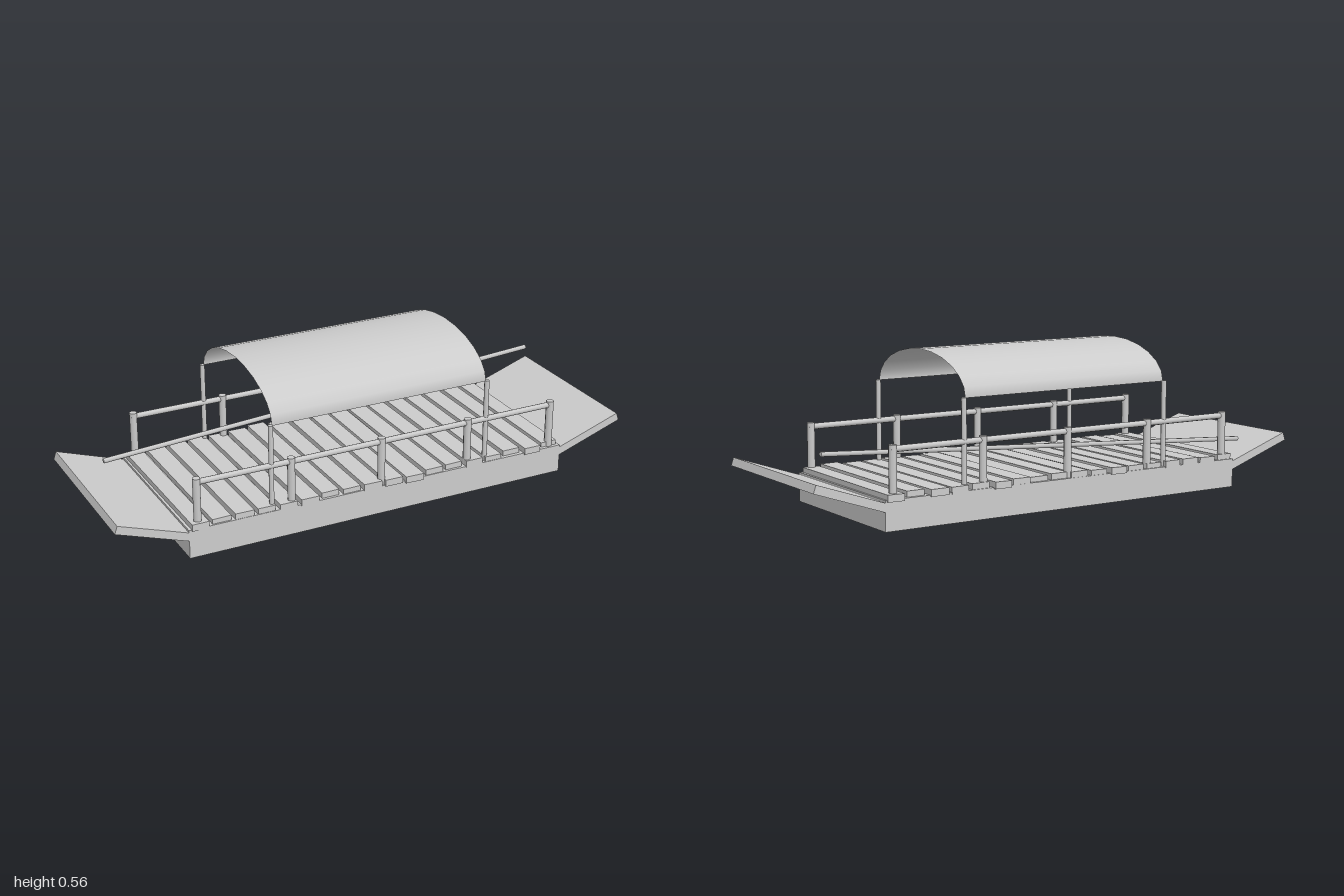
import * as THREE from 'three';

const ZC = 0.005; // hull centre line
const grey = new THREE.MeshStandardMaterial({ color: 0xcccccc, flatShading: true });
const cloth = new THREE.MeshStandardMaterial({ color: 0xcccccc, side: THREE.DoubleSide });
const smooth = new THREE.MeshStandardMaterial({ color: 0xcccccc });

function add(parent, name, geometry, material, x = 0, y = 0, z = 0) {
  const mesh = new THREE.Mesh(geometry, material);
  mesh.name = name;
  mesh.position.set(x, y, z);
  parent.add(mesh);
  return mesh;
}

// Round bar between two points
function bar(parent, name, from, to, r0, r1 = r0, sides = 8) {
  const a = new THREE.Vector3(...from), b = new THREE.Vector3(...to);
  const dir = b.clone().sub(a);
  const mesh = add(parent, name, new THREE.CylinderGeometry(r1, r0, dir.length(), sides), smooth);
  mesh.position.copy(a).add(b).multiplyScalar(0.5);
  mesh.quaternion.setFromUnitVectors(new THREE.Vector3(0, 1, 0), dir.normalize());
  return mesh;
}

function seeded(seed) {
  return () => (seed = (seed * 16807) % 2147483647) / 2147483647 - 0.5;
}

export function createModel() {
  const group = new THREE.Group();
  group.name = 'ferry';

  // Flat hull
  add(group, 'hull', new THREE.BoxGeometry(1.48, 0.106, 0.635), grey, 0, 0.053, ZC);

  // Sloping boarding ramp at each end; its lower outer edge is the tip
  const angle = 0.33, length = 0.29, thick = 0.03;
  for (const s of [-1, 1]) {
    const ramp = add(group, s > 0 ? 'leftRamp' : 'rightRamp',
      new THREE.BoxGeometry(length, thick, 0.635), grey,
      s * (1 - Math.cos(angle) * length / 2 - Math.sin(angle) * thick / 2),
      0.155 - Math.sin(angle) * length / 2 + Math.cos(angle) * thick / 2, ZC);
    ramp.rotation.z = s * angle;
  }

  // Uneven deck planks laid across the hull
  const deck = new THREE.Group();
  deck.name = 'deck';
  group.add(deck);
  const rand = seeded(4711), count = 18;
  for (let i = 0; i < count; i++) {
    const plank = add(deck, 'plank',
      new THREE.BoxGeometry(0.068 + rand() * 0.012, 0.025, 0.632 + rand() * 0.01), grey,
      -0.7 + (1.4 * i) / (count - 1), 0.113 + rand() * 0.005, ZC + rand() * 0.022);
    plank.rotation.set(0, rand() * 0.015, rand() * 0.03);
  }

  // Railings and canopy posts on both sides
  for (const s of [-1, 1]) {
    const z = ZC + s * 0.297;
    const railing = new THREE.Group();
    railing.name = s > 0 ? 'frontRailing' : 'backRailing';
    group.add(railing);
    for (const x of [-0.7, -0.35, 0, 0.35, 0.7])
      bar(railing, 'railPost', [x, 0.1, z], [x, 0.285, z], 0.0145);
    bar(railing, 'handrail', [-0.71, 0.27, z], [0.71, 0.27, z], 0.011);
    for (const x of [-0.425, 0.425])
      bar(group, 'canopyPost', [x, 0.1, z], [x, 0.42, z], 0.0095);
  }

  // Arched canopy: half an elliptical tube, open below
  const arch = new THREE.CylinderGeometry(1, 1, 0.84, 12, 1, true, 0, Math.PI);
  arch.rotateZ(Math.PI / 2);
  arch.scale(1, 0.14, 0.298);
  add(group, 'canopy', arch, cloth, 0, 0.418, ZC);

  // Long punting pole resting over the deck
  bar(group, 'puntingPole', [-0.85, 0.16, -0.208], [0.93, 0.265, -0.227], 0.009, 0.009, 6);

  return group;
}
